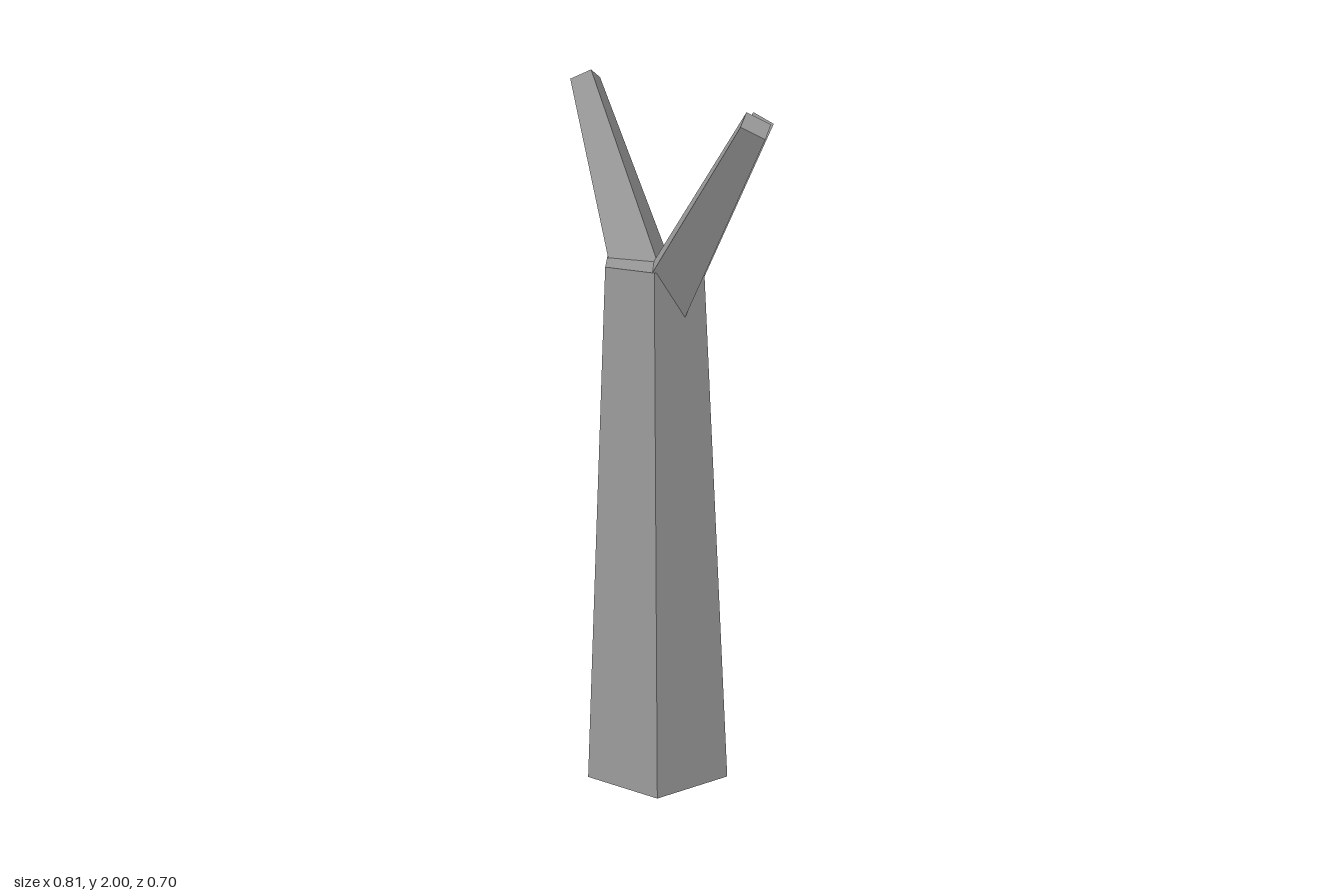
import * as THREE from 'three';

const barkMaterial = new THREE.MeshStandardMaterial({ color: 0x999999, flatShading: true, side: THREE.DoubleSide });
barkMaterial.name = 'greyBark';

const TRUNK_X = -0.02, TRUNK_Z = 0.127, TRUNK_HEIGHT = 1.52;
const TRUNK_TOP = 0.152, TRUNK_BOTTOM = 0.237;

// Tapered six-sided trunk, hollow at the bottom and closed on top
function makeTrunk() {
  const trunk = new THREE.Group();
  trunk.name = 'trunk';
  const wall = new THREE.Mesh(
    new THREE.CylinderGeometry(TRUNK_TOP, TRUNK_BOTTOM, TRUNK_HEIGHT, 6, 1, true, Math.PI / 6),
    barkMaterial
  );
  wall.name = 'trunkWall';
  wall.position.y = TRUNK_HEIGHT / 2;
  const cap = new THREE.Mesh(new THREE.CircleGeometry(TRUNK_TOP, 6).rotateX(-Math.PI / 2), barkMaterial);
  cap.name = 'trunkTop';
  cap.position.y = TRUNK_HEIGHT;
  trunk.add(wall, cap);
  trunk.position.set(TRUNK_X, 0, TRUNK_Z);
  return trunk;
}

// Tapered four-sided branch with one corner edge facing up
function makeBranch(name, start, tip) {
  const axis = tip.clone().sub(start);
  const length = axis.length();
  axis.normalize();
  const side = new THREE.Vector3().crossVectors(axis, new THREE.Vector3(0, 1, 0)).normalize();
  const up = new THREE.Vector3().crossVectors(side, axis);
  const geometry = new THREE.CylinderGeometry(0.047, 0.105, length, 4);
  geometry.translate(0, length / 2, 0);
  const branch = new THREE.Mesh(geometry, barkMaterial);
  branch.name = name;
  branch.quaternion.setFromRotationMatrix(new THREE.Matrix4().makeBasis(side, axis, up));
  branch.position.copy(start);
  return branch;
}

export function createModel() {
  const model = new THREE.Group();
  model.name = 'bareTree';
  model.add(makeTrunk());

  // All branches fork from one point inside the trunk
  const fork = new THREE.Vector3(TRUNK_X, 1.37, TRUNK_Z);
  const tips = {
    leftBranch: [0.37, 1.923, 0.304],
    rightBranch: [-0.373, 1.973, -0.085],
    backBranch: [0.07, 1.85, -0.317],
  };
  for (const [name, tip] of Object.entries(tips)) {
    model.add(makeBranch(name, fork, new THREE.Vector3(...tip)));
  }
  return model;
}
